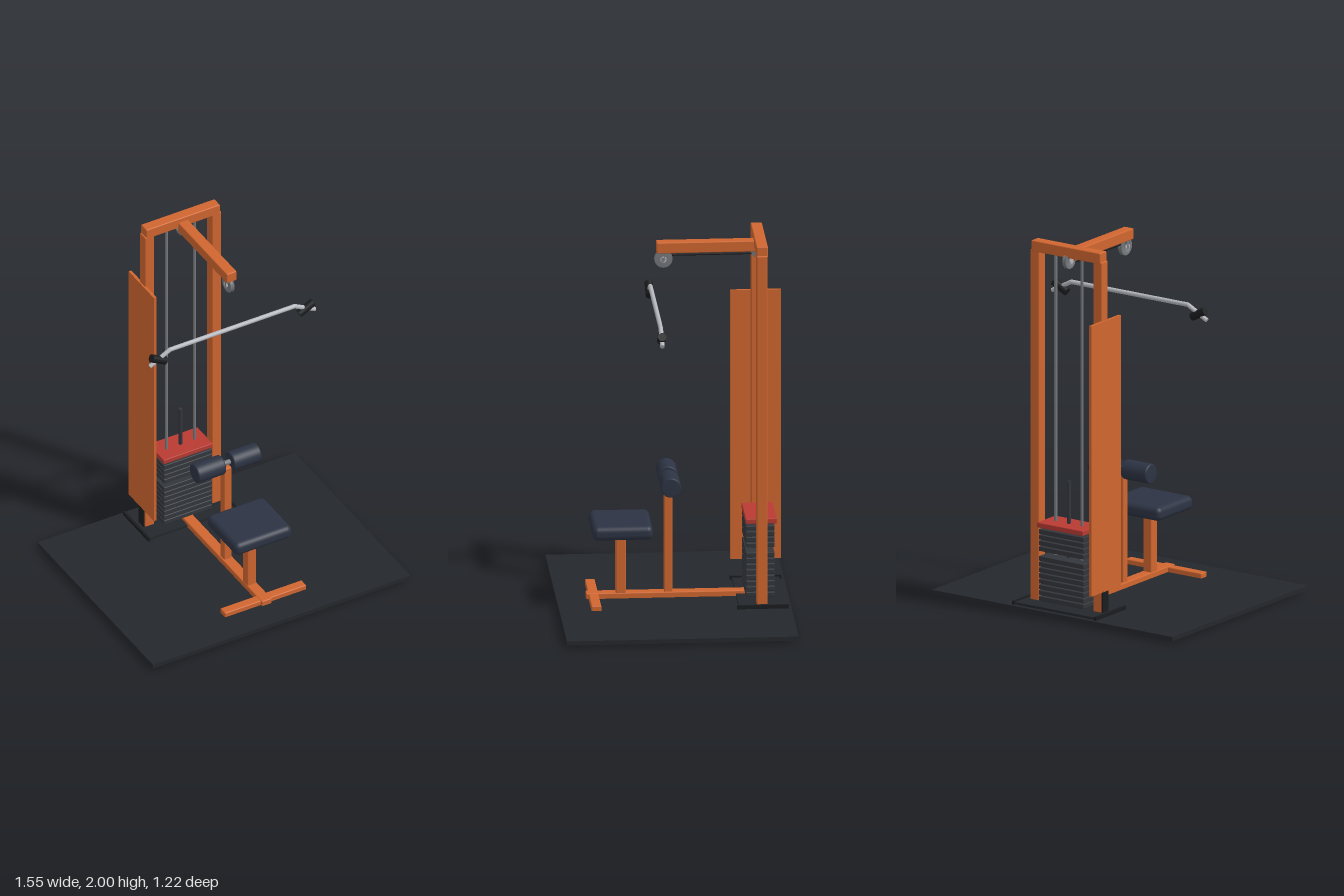
import * as THREE from 'three';
import { RoundedBoxGeometry } from 'three/addons/geometries/RoundedBoxGeometry.js';

const mat = (color) => new THREE.MeshStandardMaterial({ color });

export function createModel() {
  const model = new THREE.Group();
  const orange = mat(0xd0662f), red = mat(0xb83a32), rubber = mat(0x24272b), iron = mat(0x33363b);
  const pad = mat(0x2c3343), chrome = mat(0xb4b7bc), steel = mat(0x75787c), black = mat(0x1b1c1e);

  const add = (name, geometry, material) => {
    const mesh = new THREE.Mesh(geometry, material);
    mesh.name = name;
    model.add(mesh);
    return mesh;
  };
  // Box given by its min and max on each axis, with optional rounded edges
  const box = (name, [x0, x1], [y0, y1], [z0, z1], material, r = 0) => {
    const s = [x1 - x0, y1 - y0, z1 - z0];
    const g = r ? new RoundedBoxGeometry(...s, 3, r) : new THREE.BoxGeometry(...s);
    const m = add(name, g, material);
    m.position.set((x0 + x1) / 2, (y0 + y1) / 2, (z0 + z1) / 2);
    return m;
  };
  // Round bar between two points
  const rod = (name, a, b, r, material, sides = 20) => {
    const p = new THREE.Vector3(...a), q = new THREE.Vector3(...b), d = q.clone().sub(p);
    const m = add(name, new THREE.CylinderGeometry(r, r, d.length(), sides), material);
    m.position.copy(p).add(q).multiplyScalar(0.5);
    m.quaternion.setFromUnitVectors(new THREE.Vector3(0, 1, 0), d.normalize());
    return m;
  };

  // Floor and base
  box('floorMat', [-0.775, 0.775], [0.012, 0.035], [-0.61, 0.605], rubber);
  box('baseSpine', [-0.03, 0.03], [0, 0.065], [-0.41, 0.45], orange, 0.006);
  box('crossFoot', [-0.245, 0.245], [0.008, 0.062], [0.385, 0.437], orange, 0.006);
  box('stackBase', [-0.262, 0.262], [0.03, 0.048], [-0.585, -0.335], rubber);
  for (const s of [-1, 1])
    box('baseRail', [s * 0.264 - 0.006, s * 0.264 + 0.006], [0.03, 0.055], [-0.595, -0.325], black);

  // Tower
  for (const s of [-1, 1])
    box('upright', [s * 0.202 - 0.028, s * 0.202 + 0.028], [0.045, 1.95], [-0.487, -0.43], orange, 0.006);
  box('topBeam', [-0.222, 0.222], [1.94, 2], [-0.49, -0.43], orange, 0.006);
  box('topArm', [-0.03, 0.03], [1.915, 1.975], [-0.44, 0.08], orange, 0.006);
  box('sideShield', [-0.238, -0.222], [0.16, 1.63], [-0.59, -0.325], orange);
  box('shieldPost', [-0.238, -0.212], [0.04, 0.17], [-0.485, -0.435], black);

  // Pulleys: grooved wheel turned about the x axis, with a hub
  const wheel = (y, z, r) => {
    const profile = [[0.3, -0.012], [0.95, -0.012], [1, -0.009], [0.85, 0], [1, 0.009], [0.95, 0.012], [0.3, 0.012], [0.3, -0.012]];
    const g = new THREE.LatheGeometry(profile.map(([a, b]) => new THREE.Vector2(a * r, b)), 32);
    const m = add('pulley', g, steel);
    m.rotation.z = Math.PI / 2;
    m.position.set(0, y, z);
    rod('pulleyHub', [-0.019, y, z], [0.019, y, z], r * 0.34, chrome);
  };
  wheel(1.88, 0.043, 0.048);
  wheel(1.92, -0.46, 0.046);
  for (const s of [-1, 1])
    box('pulleyBracket', [s * 0.017 - 0.002, s * 0.017 + 0.002], [1.865, 1.925], [0.033, 0.053], steel);
  rod('cable', [0, 1.9, 0], [0, 1.9, -0.44], 0.006, black, 10);

  // Weight stack with a gap above the selected plate
  for (let i = 0; i < 12; i++) {
    const y = 0.062 + i * 0.031 + (i > 7 ? 0.022 : 0);
    box('weightPlate', [-0.145, 0.145], [y, y + 0.026], [-0.53, -0.38], iron, 0.004);
  }
  box('topPlate', [-0.148, 0.148], [0.462, 0.49], [-0.542, -0.378], red, 0.004);
  for (const x of [-0.085, 0.085])
    rod('guideRod', [x, 0.04, -0.46], [x, 1.945, -0.46], 0.008, steel);
  rod('selectorStem', [0, 0.045, -0.46], [0, 0.72, -0.46], 0.01, iron);
  rod('selectorPin', [0.1, 0.18, -0.455], [0.178, 0.18, -0.455], 0.007, black);

  // Seat and knee hold-down
  box('seatPost', [-0.027, 0.027], [0.055, 0.395], [0.24, 0.294], orange, 0.006);
  box('seat', [-0.172, 0.172], [0.39, 0.466], [0.108, 0.425], pad, 0.03);
  box('kneePost', [-0.022, 0.022], [0.055, 0.66], [-0.004, 0.04], orange, 0.006);
  rod('kneeAxle', [-0.1, 0.68, 0.016], [0.1, 0.68, 0.016], 0.014, steel);
  const rollerProfile = [[0, -0.083], [0.046, -0.083], [0.051, -0.08], [0.053, -0.074],
    [0.053, 0.074], [0.051, 0.08], [0.046, 0.083], [0, 0.083]].map(([a, b]) => new THREE.Vector2(a, b));
  for (const s of [-1, 1]) {
    const roller = add('kneeRoller', new THREE.LatheGeometry(rollerProfile, 32), pad);
    roller.rotation.z = Math.PI / 2;
    roller.position.set(s * 0.107, 0.68, 0.016);
  }

  // Pull-down bar with drooping ends and angled grips
  const z = 0.084;
  rod('pullBar', [-0.375, 1.615, z], [0.375, 1.615, z], 0.012, chrome);
  for (const s of [-1, 1]) {
    const elbow = add('barElbow', new THREE.SphereGeometry(0.012, 16, 12), chrome);
    elbow.position.set(s * 0.375, 1.615, z);
    rod('barEnd', [s * 0.375, 1.615, z], [s * 0.497, 1.55, z], 0.012, chrome);
    rod('barGrip', [s * 0.487, 1.6, z], [s * 0.403, 1.555, z], 0.022, black);
  }
  return model;
}
